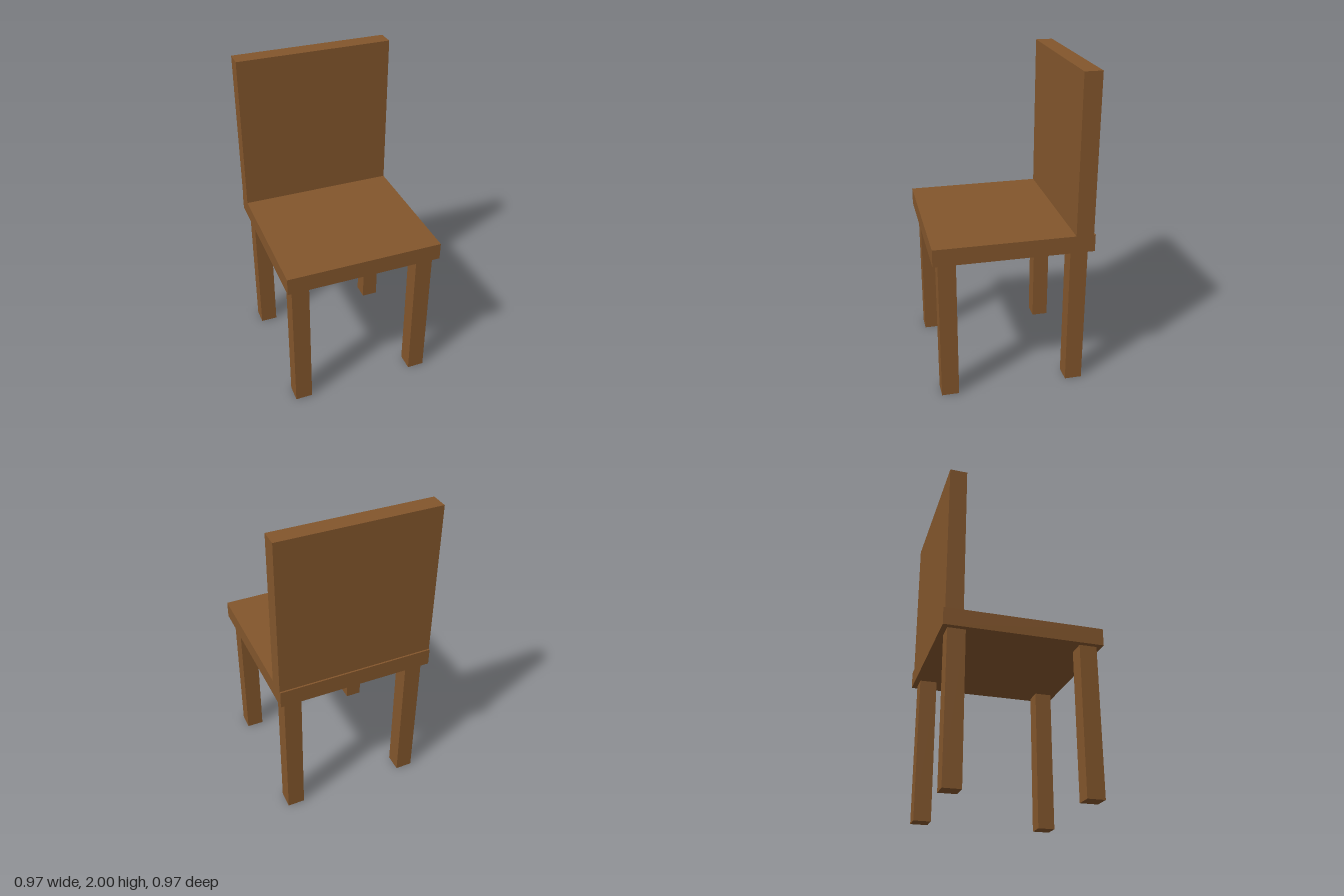
import * as THREE from 'three';

export function createModel() {
  const chair = new THREE.Group();
  chair.name = 'chair';

  const wood = new THREE.MeshStandardMaterial({ color: 0x83562c });
  wood.name = 'brownWood';

  const WIDTH = 0.973;   // seat and backrest
  const THICK = 0.108;   // every board and leg
  const LEG_HEIGHT = 0.919;
  const SEAT_TOP = LEG_HEIGHT + THICK;

  // Box placed by the centre of its base
  function addBox(name, w, h, d, x, y, z) {
    const geometry = new THREE.BoxGeometry(w, h, d).translate(0, h / 2, 0);
    const mesh = new THREE.Mesh(geometry, wood);
    mesh.name = name;
    mesh.position.set(x, y, z);
    chair.add(mesh);
  }

  addBox('seat', WIDTH, THICK, WIDTH, 0, LEG_HEIGHT, 0);

  // Backrest, set in slightly from the rear edge of the seat
  addBox('backrest', WIDTH, 2 - SEAT_TOP, THICK, 0, SEAT_TOP, -0.422);

  // Four legs
  for (const [end, z] of [['front', 0.4], ['back', -0.4]]) {
    for (const [side, x] of [['Left', 0.4], ['Right', -0.4]]) {
      addBox(`${end}${side}Leg`, THICK, LEG_HEIGHT, THICK, x, 0, z);
    }
  }

  return chair;
}
